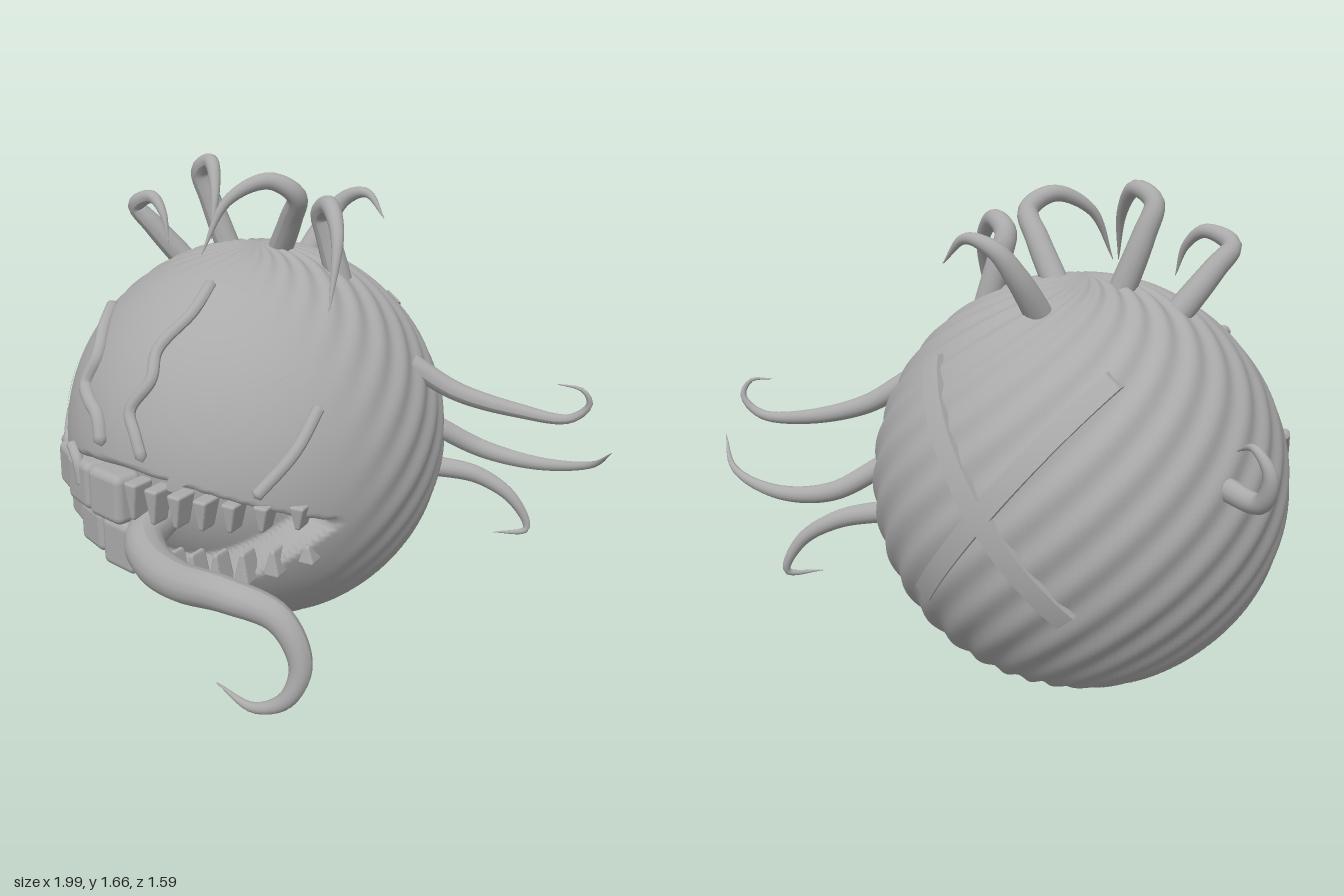
import * as THREE from 'three';
import { mergeVertices } from 'three/addons/utils/BufferGeometryUtils.js';
import { RoundedBoxGeometry } from 'three/addons/geometries/RoundedBoxGeometry.js';

const C = new THREE.Vector3(-0.22, 0.69, -0.1), R = 0.68;
const smooth = THREE.MathUtils.smoothstep;

// depth of the ball's surface at a given x, y (side 1 = front, -1 = back)
function surfaceZ(x, y, r = R, side = 1) {
  const d = r * r - (x - C.x) ** 2 - (y - C.y) ** 2;
  return C.z + side * Math.sqrt(Math.max(d, 0));
}

// move every vertex of a geometry by a rule
function reshape(geo, rule) {
  const p = geo.attributes.position, v = new THREE.Vector3();
  for (let i = 0; i < p.count; i++) {
    v.fromBufferAttribute(p, i);
    rule(v, i);
    p.setXYZ(i, v.x, v.y, v.z);
  }
  geo.computeVertexNormals();
  return geo;
}

export function createModel() {
  const group = new THREE.Group();
  const grey = new THREE.MeshStandardMaterial({ color: 0xaaaaaa });
  const add = (name, geo) => {
    const mesh = new THREE.Mesh(geo, grey);
    mesh.name = name;
    group.add(mesh);
    return mesh;
  };

  // ball with spiral ripples at the back and a sunken mouth at the front
  let ball = new THREE.SphereGeometry(R, 224, 144);
  ball.deleteAttribute('uv');
  ball.deleteAttribute('normal');
  ball = mergeVertices(ball, 1e-5);
  add('body', reshape(ball, (v) => {
    const lat = Math.asin(THREE.MathUtils.clamp(v.y / R, -1, 1));
    const phi = Math.atan2(v.x, v.z);
    const fade = (1 - smooth(v.z, -0.05, 0.35)) * smooth(Math.cos(lat), 0, 0.35);
    let scale = 1 + 0.009 * fade * Math.sin(24 * (phi - 1.1 * lat));
    if (v.z > 0) {
      const arch = 1 - (v.x / 0.58) ** 2;
      const top = -0.09 + 0.145 * arch, bottom = -0.13 - 0.29 * arch;
      scale -= 0.17 * smooth(Math.min(top - v.y, v.y - bottom), 0, 0.035);
    }
    v.multiplyScalar(scale).add(C);
  }));

  // tube along points whose radius follows a profile over its length
  function taperedTube(name, points, radius, profile, segments = 40) {
    const path = new THREE.CatmullRomCurve3(points.map((p) => new THREE.Vector3(...p)));
    const sides = 14;
    const geo = new THREE.TubeGeometry(path, segments, radius, sides);
    const centres = path.getSpacedPoints(segments);
    return add(name, reshape(geo, (v, i) => {
      const ring = Math.floor(i / (sides + 1));
      const c = centres[ring];
      v.sub(c).multiplyScalar(profile(ring / segments)).add(c);
    }));
  }
  const horn = (t) => 1 - 0.97 * t ** 1.6;
  const blunt = (t) => (t <= 0 || t >= 1 ? 0.01 : 1);

  // curled horns on the crown
  [
    [[-0.54, 1.26, -0.1], [-0.63, 1.4, -0.02], [-0.67, 1.47, 0.02], [-0.58, 1.51, 0.03], [-0.51, 1.46, 0.05], [-0.47, 1.36, 0.07]],
    [[-0.36, 1.3, -0.14], [-0.43, 1.5, -0.11], [-0.45, 1.6, -0.08], [-0.38, 1.64, -0.06], [-0.31, 1.56, 0], [-0.27, 1.4, 0.07]],
    [[-0.16, 1.32, -0.15], [-0.06, 1.47, -0.1], [0, 1.56, -0.05], [-0.06, 1.61, 0.02], [-0.15, 1.55, 0.12], [-0.19, 1.38, 0.21]],
    [[0.08, 1.26, -0.19], [0.04, 1.42, -0.17], [0.03, 1.49, -0.15], [0.1, 1.53, -0.1], [0.19, 1.45, -0.02], [0.24, 1.23, 0.09]],
    [[-0.22, 1.26, -0.38], [-0.18, 1.4, -0.47], [-0.13, 1.48, -0.51], [-0.03, 1.51, -0.51], [0.06, 1.43, -0.49]],
  ].forEach((p) => taperedTube('crownHorn', p, 0.044, horn));

  // tentacles on the sides
  [
    [[0.34, 1.0, -0.25], [0.48, 0.91, -0.32], [0.68, 0.86, -0.4], [0.85, 0.86, -0.43], [0.91, 0.92, -0.44], [0.89, 0.97, -0.42], [0.81, 0.98, -0.4]],
    [[0.35, 0.74, -0.4], [0.5, 0.65, -0.5], [0.7, 0.63, -0.54], [0.9, 0.68, -0.52], [1.0, 0.77, -0.44]],
    [[0.33, 0.58, -0.4], [0.49, 0.55, -0.49], [0.61, 0.47, -0.54], [0.66, 0.36, -0.56], [0.57, 0.35, -0.48]],
    [[-0.8, 0.82, -0.37], [-0.94, 0.82, -0.46], [-0.97, 0.91, -0.49], [-0.92, 0.98, -0.48], [-0.85, 0.95, -0.42]],
  ].forEach((p) => taperedTube('sideTentacle', p, 0.036, horn));

  // tongue
  taperedTube('tongue', [
    [-0.2, 0.53, 0.42], [-0.15, 0.51, 0.56], [-0.02, 0.5, 0.66], [0.15, 0.51, 0.72], [0.35, 0.535, 0.735],
    [0.51, 0.49, 0.69], [0.58, 0.36, 0.68], [0.55, 0.25, 0.71], [0.45, 0.2, 0.74], [0.31, 0.23, 0.74],
  ], 0.068, (t) => 1 - 0.97 * t ** 2.2, 64);

  // raised veins lying on the face
  [
    [0.024, [[-0.59, 1.16], [-0.51, 1.11], [-0.46, 1.04], [-0.48, 0.95], [-0.42, 0.91], [-0.36, 0.88], [-0.32, 0.79]]],
    [0.02, [[-0.15, 1.3], [-0.13, 1.22], [-0.18, 1.11], [-0.16, 1.03], [-0.21, 0.93], [-0.17, 0.86], [-0.13, 0.78]]],
    [0.02, [[0.31, 0.97], [0.29, 0.84], [0.21, 0.7]]],
    [0.02, [[-0.83, 0.86], [-0.79, 0.73], [-0.72, 0.64]]],
    [0.02, [[-0.54, 0.73], [-0.48, 0.69], [-0.46, 0.61]]],
  ].forEach(([r, pts]) =>
    taperedTube('faceVein', pts.map(([x, y]) => [x, y, surfaceZ(x, y) + 0.008]), r, blunt));

  // thin oval patches draped over the face
  [
    [-0.27, 1.05, 0.06, 0.15, 0],
    [-0.08, 1.15, 0.025, 0.045, 0.2],
    [0.11, 0.89, 0.045, 0.24, -0.68],
    [-0.71, 0.84, 0.04, 0.13, -0.12],
  ].forEach(([x, y, w, h, turn]) => {
    const oval = new THREE.RingGeometry(0.001, 1, 40, 8);
    oval.scale(w, h, 1).rotateZ(turn).translate(x, y, 0);
    add('facePatch', reshape(oval, (v) => { v.z = surfaceZ(v.x, v.y, R + 0.005); }));
  });

  // crossed straps on the back
  [[-0.25, -0.9], [-0.19, 0.9]].forEach(([x, turn]) => {
    const strap = new THREE.BoxGeometry(0.87, 0.062, 0.03, 40, 4, 1);
    strap.rotateZ(turn).translate(x, 0.8, 0);
    add('backStrap', reshape(strap, (v) => {
      v.z = surfaceZ(v.x, v.y, R + (v.z < 0 ? 0.018 : -0.01), -1);
    }));
  });

  // big square teeth: left edge, right edge, upper bottom/top, lower bottom/top
  [
    [-0.77, -0.67, 0.545, 0.67, 0.44, 0.54],
    [-0.67, -0.543, 0.53, 0.69, 0.395, 0.515],
    [-0.543, -0.39, 0.53, 0.7, 0.355, 0.51],
    [-0.39, -0.225, 0.53, 0.705, 0.33, 0.51],
  ].forEach(([x0, x1, ub, ut, lb, lt]) => {
    [['upperTooth', ub, ut], ['lowerTooth', lb, lt]].forEach(([name, b, t]) => {
      const x = (x0 + x1) / 2, y = (b + t) / 2;
      const turn = Math.atan2(x - C.x, 0.68) * 0.85;
      const tooth = add(name, new RoundedBoxGeometry((x1 - x0) / Math.cos(turn), t - b, 0.11, 4, 0.028));
      tooth.position.set(x, y, surfaceZ(x, y) - 0.035);
      tooth.rotation.y = turn;
    });
  });

  // pointed teeth, wedge shaped, on the other half of the mouth
  for (let i = 0; i < 7; i++) {
    const x = -0.18 + i * 0.08;
    [['upperFang', 0.7 - i * 0.006, 0.57 + i * 0.002, 0.055], ['lowerFang', 0.32 + i * i * 0.0035, 0.43 + i * 0.013, 0.06]]
      .forEach(([name, root, tip, width]) => {
        const h = Math.abs(root - tip), y = (root + tip) / 2;
        const dir = Math.sign(root - tip);
        const fang = new RoundedBoxGeometry(width, h, 0.09, 3, 0.01);
        reshape(fang, (v) => {
          const k = 0.5 + (dir * v.y) / h;
          v.x *= 0.25 + 0.75 * k;
          v.z *= 0.75 + 0.25 * k;
        });
        const mesh = add(name, fang);
        mesh.position.set(x, y, surfaceZ(x, y) - 0.025);
        mesh.rotation.y = (x - C.x) * 0.35;
      });
  }

  return group;
}
